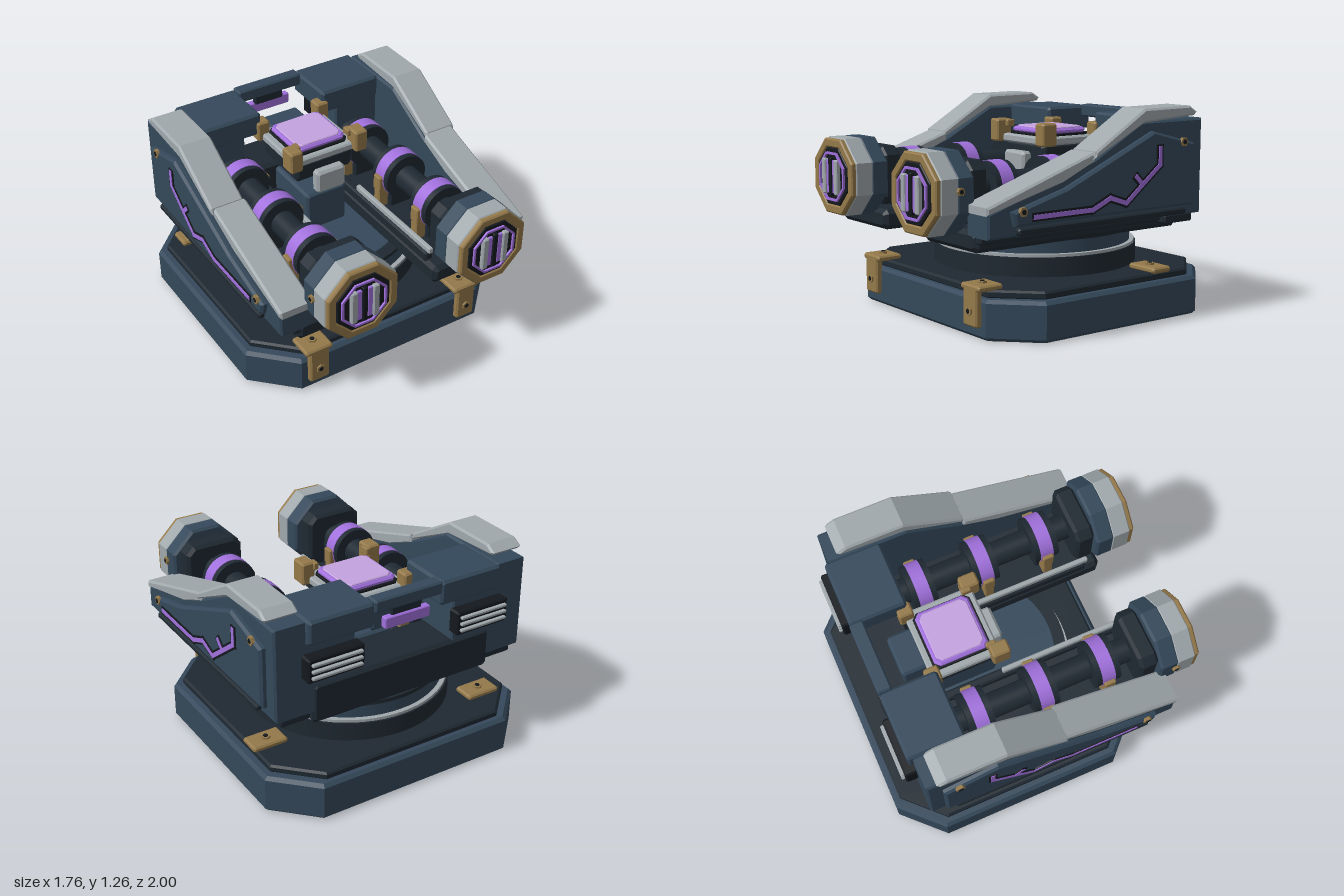
import * as THREE from 'three';

const mat = (color) => new THREE.MeshStandardMaterial({ color, flatShading: true });
const navy = mat(0x34485a), dark = mat(0x1f2932), black = mat(0x14181d);
const steel = mat(0xa0a8ac), gold = mat(0x94794a), purple = mat(0xa070dc), pink = mat(0xc4a2de);
const darkRound = new THREE.MeshStandardMaterial({ color: 0x1f2932 });
const navyRound = new THREE.MeshStandardMaterial({ color: 0x34485a });
const steelRound = new THREE.MeshStandardMaterial({ color: 0xa0a8ac });
const purpleRound = new THREE.MeshStandardMaterial({ color: 0xa070dc });

// Corners of a rectangle with cut corners
function cutRect(hw, hh, c) {
  return [[hw - c, -hh], [hw, -hh + c], [hw, hh - c], [hw - c, hh],
    [-hw + c, hh], [-hw, hh - c], [-hw, -hh + c], [-hw + c, -hh]];
}

// Extruded outline with chamfered rims, centred on its own depth
function prismGeo(points, depth, bevel = 0.012, hole) {
  const shape = new THREE.Shape(points.map((p) => new THREE.Vector2(p[0], p[1])));
  if (hole) shape.holes.push(new THREE.Path(hole.map((p) => new THREE.Vector2(p[0], p[1]))));
  const geo = new THREE.ExtrudeGeometry(shape, {
    depth: depth - 2 * bevel, bevelEnabled: bevel > 0, bevelThickness: bevel,
    bevelSize: bevel, bevelOffset: -bevel, bevelSegments: 1,
  });
  return geo.translate(0, 0, -depth / 2 + bevel);
}

function add(parent, name, geo, material, x = 0, y = 0, z = 0) {
  const mesh = new THREE.Mesh(geo, material);
  mesh.name = name;
  mesh.position.set(x, y, z);
  parent.add(mesh);
  return mesh;
}

// Box given by its ranges on the three axes, with slightly chamfered edges
function block(parent, name, m, [x0, x1], [y0, y1], [z0, z1], bevel = 0.01) {
  const w = Math.abs(x1 - x0), h = y1 - y0, d = z1 - z0;
  const geo = prismGeo(cutRect(w / 2, h / 2, Math.max(bevel, 0.004)), d, Math.min(bevel, d / 3));
  return add(parent, name, geo, m, (x0 + x1) / 2, (y0 + y1) / 2, (z0 + z1) / 2);
}

// Outline in [z, y], extruded along x
function sidePrism(parent, name, m, outline, x, width, bevel) {
  const pts = outline.map(([z, y]) => [-z, y]);
  return add(parent, name, prismGeo(pts, width, bevel).rotateY(Math.PI / 2), m, x);
}

// Outline in [x, z], extruded upward
function slab(parent, name, m, points, y0, y1, z, bevel) {
  return add(parent, name, prismGeo(points, y1 - y0, bevel).rotateX(-Math.PI / 2), m, 0, (y0 + y1) / 2, z);
}

// Hexagonal bolt head along an axis
function bolt(parent, axis, x, y, z, r = 0.028) {
  const geo = new THREE.CylinderGeometry(r, r, 0.02, 6);
  const pin = new THREE.CylinderGeometry(r * 0.55, r * 0.55, 0.026, 6);
  for (const g of [geo, pin]) {
    if (axis === 'x') g.rotateZ(Math.PI / 2);
    if (axis === 'z') g.rotateX(Math.PI / 2);
  }
  add(parent, 'bolt', geo, gold, x, y, z);
  add(parent, 'boltCentre', pin, black, x, y, z);
}

function buildBase(root) {
  const g = new THREE.Group();
  g.name = 'base';
  root.add(g);
  slab(g, 'baseSlab', navy, cutRect(0.875, 0.815, 0.24), 0, 0.235, -0.18, 0.02);
  slab(g, 'basePlate', dark, cutRect(0.825, 0.775, 0.23), 0.23, 0.28, -0.18, 0.012);
  // Turntable rings: [radius, bottom, top, material]
  for (const [r, y0, y1, m] of [[0.63, 0.27, 0.395, darkRound], [0.62, 0.395, 0.412, steelRound],
    [0.592, 0.41, 0.49, navyRound], [0.595, 0.488, 0.512, darkRound], [0.52, 0.5, 0.516, navyRound]]) {
    add(g, 'turntableRing', new THREE.CylinderGeometry(r, r, y1 - y0, 64), m, 0, (y0 + y1) / 2, -0.21);
  }
  // Front clamps fold over the rim, rear ones lie flat
  for (const s of [-1, 1]) {
    block(g, 'clampPlate', gold, [s * 0.53 - 0.09, s * 0.53 + 0.09], [0.275, 0.31], [0.5, 0.67]);
    block(g, 'clampArm', gold, [s * 0.53 - 0.065, s * 0.53 + 0.065], [0.07, 0.3], [0.625, 0.67]);
    bolt(g, 'z', s * 0.53, 0.16, 0.67);
    bolt(g, 'y', s * 0.53, 0.312, 0.58);
  }
  for (const [x, z] of [[0.73, -0.51], [-0.63, -0.72]]) {
    block(g, 'clampPlate', gold, [x - 0.11, x + 0.11], [0.275, 0.31], [z - 0.07, z + 0.07]);
    bolt(g, 'y', x, 0.312, z);
  }
}

// Glowing channel along a path of [z, y] points
function glowLine(g, path, x) {
  for (const [w, depth, m, name] of [[0.05, 0.012, black, 'glowChannel'], [0.026, 0.02, purple, 'glowLine']]) {
    for (let i = 0; i + 1 < path.length; i++) {
      const [z0, y0] = path[i], [z1, y1] = path[i + 1];
      const len = Math.hypot(z1 - z0, y1 - y0) + w * 0.7;
      const bar = add(g, name, new THREE.BoxGeometry(depth, w, len), m, x, (y0 + y1) / 2, (z0 + z1) / 2);
      bar.rotation.x = -Math.atan2(y1 - y0, z1 - z0);
    }
  }
}

function buildSide(root, s) {
  const g = new THREE.Group();
  g.name = s > 0 ? 'leftSide' : 'rightSide';
  root.add(g);
  // Hull
  block(g, 'hullFloor', dark, [s * 0.2, s * 0.72], [0.52, 0.64], [-0.74, 0.76], 0.025);
  block(g, 'hullSkirt', dark, [s * 0.6, s * 0.75], [0.57, 0.63], [-0.78, 0.75]);
  block(g, 'rearSkirt', dark, [s * 0.6, s * 0.79], [0.555, 0.61], [-0.8, -0.57]);
  sidePrism(g, 'sideWall', navy, [[0.76, 0.61], [0.76, 0.75], [0.02, 0.99], [-0.33, 1.18],
    [-0.82, 1.18], [-0.82, 0.61]], s * 0.735, 0.2);
  sidePrism(g, 'sidePanel', navy, [[0.6, 0.67], [0.62, 0.75], [0.25, 0.85], [-0.4, 1.125],
    [-0.73, 1.04], [-0.73, 0.67]], s * 0.845, 0.05, 0.015);
  block(g, 'sideSill', dark, [s * 0.8, s * 0.87], [0.62, 0.66], [-0.67, 0.58]);
  // Armour cover in two plates
  sidePrism(g, 'frontArmour', steel, [[0.77, 0.74], [0.77, 0.785], [0.03, 1.03], [0.02, 0.975],
    [0.25, 0.875]], s * 0.735, 0.21);
  sidePrism(g, 'rearArmour', steel, [[0.04, 0.99], [0.03, 1.035], [-0.34, 1.255], [-0.7, 1.258],
    [-0.76, 1.22], [-0.74, 1.2], [-0.34, 1.175]], s * 0.75, 0.21);
  // Glow line and bolts
  glowLine(g, [[0.48, 0.715], [0.07, 0.715], [-0.06, 0.77], [-0.18, 0.73], [-0.44, 0.93], [-0.44, 1.03]], s * 0.87);
  glowLine(g, [[-0.3, 0.83], [-0.255, 0.875]], s * 0.87);
  bolt(g, 'x', s * 0.868, 0.75, 0.555);
  bolt(g, 'x', s * 0.868, 1.05, -0.635);
  // Rear block and vent
  block(g, 'rearTopBlock', navy, [s * 0.22, s * 0.64], [1.04, 1.19], [-0.85, -0.5], 0.015);
  block(g, 'rearWall', navy, [s * 0.33, s * 0.66], [0.6, 1.06], [-0.82, -0.52]);
  block(g, 'ventBody', black, [s * 0.31, s * 0.67], [0.84, 0.99], [-0.89, -0.81]);
  for (let i = 0; i < 3; i++) {
    const y = 0.875 + i * 0.04;
    block(g, 'ventFin', steel, [s * 0.33, s * 0.65], [y - 0.009, y + 0.009], [-0.91, -0.87], 0.004);
  }
  block(g, 'innerRail', steel, [s * 0.215, s * 0.245], [0.69, 0.73], [-0.1, 0.68], 0.006);
  block(g, 'railBed', dark, [s * 0.205, s * 0.26], [0.62, 0.69], [-0.5, 0.66]);
}

function buildCannon(root, s) {
  const g = new THREE.Group();
  g.name = s > 0 ? 'leftCannon' : 'rightCannon';
  g.position.set(s * 0.44, 0.835, 0);
  root.add(g);
  const tube = (name, m, r, z0, z1) =>
    add(g, name, new THREE.CylinderGeometry(r, r, z1 - z0, 32).rotateX(Math.PI / 2), m, 0, 0, (z0 + z1) / 2);
  const octagon = (r) => cutRect(r, r, r * 0.586);
  tube('barrel', darkRound, 0.078, -0.53, 0.66);
  // Banded collars on feet
  for (const z of [-0.36, 0.04, 0.435]) {
    tube('collar', darkRound, 0.143, z - 0.078, z + 0.078);
    tube('collarBand', purpleRound, 0.147, z - 0.042, z + 0.042);
    block(g, 'collarFoot', dark, [-0.1, 0.1], [-0.21, -0.09], [z - 0.06, z + 0.06]);
    for (const e of [-1, 1]) {
      block(g, 'collarClamp', gold, [e * 0.13, e * 0.168], [-0.08, 0.02], [z - 0.035, z + 0.035], 0.006);
      block(g, 'clampFoot', gold, [e * 0.09, e * 0.165], [-0.2, -0.07], [z - 0.03, z + 0.03], 0.006);
    }
  }
  // Muzzle housing
  add(g, 'muzzleBack', prismGeo(cutRect(0.19, 0.175, 0.05), 0.12, 0.02), dark, 0, 0, 0.67);
  add(g, 'muzzleRear', prismGeo(octagon(0.23), 0.12, 0.015), navy, 0, 0, 0.785);
  add(g, 'muzzleHousing', prismGeo(octagon(0.23), 0.12, 0.01), steel, 0, 0, 0.89);
  add(g, 'muzzleRim', prismGeo(octagon(0.224), 0.04, 0.008, octagon(0.172)), gold, 0, 0, 0.955);
  add(g, 'muzzleFace', prismGeo(octagon(0.17), 0.04, 0.005), black, 0, 0, 0.955);
  add(g, 'muzzleGlow', prismGeo(octagon(0.145), 0.015, 0, octagon(0.132)), purple, 0, 0, 0.98);
  for (const e of [-1, 1]) {
    block(g, 'muzzleSlat', steel, [e * 0.05, e * 0.09], [-0.105, 0.105], [0.96, 1], 0.006);
    block(g, 'muzzleLight', purple, [e * 0.018, e * 0.052], [-0.1, 0.1], [0.96, 0.99], 0.004);
  }
  block(g, 'muzzleDivider', black, [-0.015, 0.015], [-0.115, 0.115], [0.96, 0.997], 0.004);
  bolt(g, 'x', s * 0.236, 0.025, 0.825, 0.024);
}

function buildCentre(root) {
  const g = new THREE.Group();
  g.name = 'centre';
  root.add(g);
  // Rear bridge between the sides
  block(g, 'rearPanel', dark, [-0.6, 0.6], [0.53, 0.78], [-0.83, -0.52], 0.02);
  block(g, 'rearBeam', navy, [-0.225, 0.225], [1.12, 1.2], [-0.855, -0.77]);
  block(g, 'rearLight', purple, [-0.15, 0.15], [1.0, 1.07], [-0.845, -0.8], 0.006);
  block(g, 'lightHanger', dark, [-0.1, 0.1], [1.06, 1.13], [-0.83, -0.79], 0.006);
  block(g, 'pedestal', navy, [-0.14, 0.14], [0.51, 0.775], [-0.5, -0.1], 0.015);
  // Core with corner posts
  block(g, 'coreBody', dark, [-0.2, 0.2], [0.88, 1.01], [-0.52, -0.12], 0.02);
  block(g, 'coreArm', navy, [-0.13, 0.13], [0.9, 1.04], [-0.68, -0.5], 0.015);
  block(g, 'coreFront', steel, [-0.1, 0.1], [0.81, 0.96], [-0.11, -0.04], 0.015);
  slab(g, 'coreFrame', steel, cutRect(0.225, 0.215, 0.03), 1.0, 1.05, -0.32, 0.01);
  slab(g, 'coreSeat', black, cutRect(0.185, 0.18, 0.03), 1.05, 1.065, -0.32, 0.003);
  slab(g, 'coreGlow', purple, cutRect(0.175, 0.168, 0.03), 1.06, 1.095, -0.32, 0.012);
  slab(g, 'coreLens', pink, cutRect(0.155, 0.148, 0.03), 1.09, 1.103, -0.32, 0.005);
  for (const s of [-1, 1]) {
    block(g, 'frontPost', gold, [s * 0.185, s * 0.27], [1.0, 1.14], [-0.17, -0.06]);
    block(g, 'frontPostLip', gold, [s * 0.165, s * 0.2], [1.09, 1.135], [-0.18, -0.12], 0.006);
    block(g, 'rearPost', gold, [s * 0.17, s * 0.255], [1.0, 1.13], [-0.57, -0.48]);
  }
}

export function createModel() {
  const root = new THREE.Group();
  root.name = 'twinCannonTurret';
  buildBase(root);
  buildCentre(root);
  for (const s of [-1, 1]) {
    buildSide(root, s);
    buildCannon(root, s);
  }
  return root;
}
